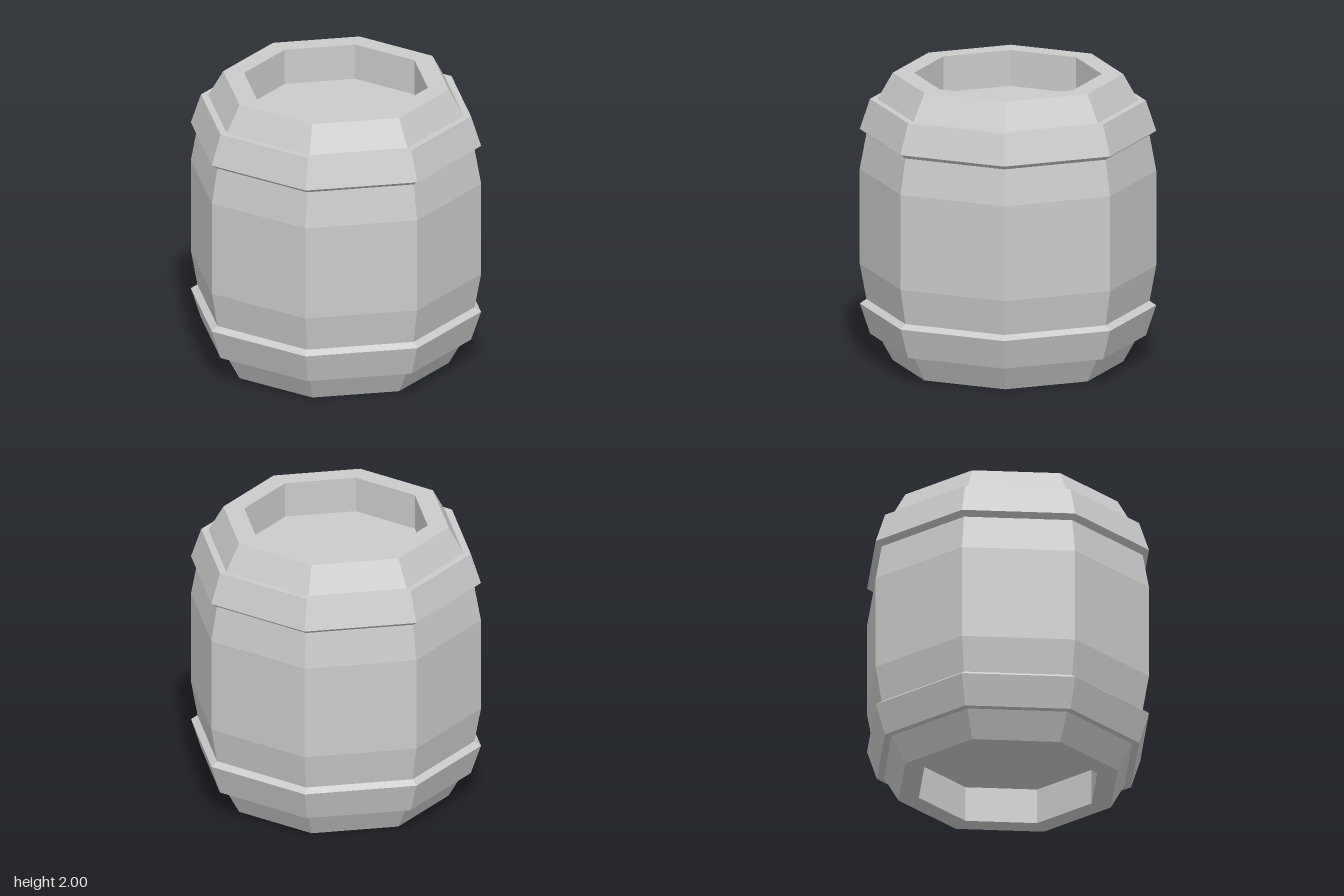
import * as THREE from 'three';

const SIDES = 8;
const HEIGHT = 2;

export function createModel() {
  const group = new THREE.Group();
  group.name = 'barrel';
  const material = new THREE.MeshStandardMaterial({ color: 0xcccccc, flatShading: true });

  // Faceted ring or shell from [radius, y] points running upward on the outside
  const addLathe = (name, profile) => {
    const points = profile.map(([r, y]) => new THREE.Vector2(r, y));
    const mesh = new THREE.Mesh(new THREE.LatheGeometry(points, SIDES), material);
    mesh.name = name;
    group.add(mesh);
  };
  // Mirror a profile top to bottom, keeping the outside running upward
  const flip = (profile) => profile.map(([r, y]) => [r, HEIGHT - y]).reverse();

  // Staves, rim and recessed lid, from the belly up to the centre of the lid
  const upperHalf = [
    [1, 1.33], [0.955, 1.575], [0.923, 1.74], [0.777, 2],
    [0.633, 2], [0.633, 1.75], [0, 1.75],
  ];
  addLathe('body', [...flip(upperHalf), ...upperHalf]);

  // Hoops with a bevelled edge towards the belly
  const hoop = [[0.95, 1.573], [1, 1.607], [0.93, 1.817], [0.87, 1.817]];
  addLathe('upperHoop', hoop);
  addLathe('lowerHoop', flip(hoop));

  return group;
}
